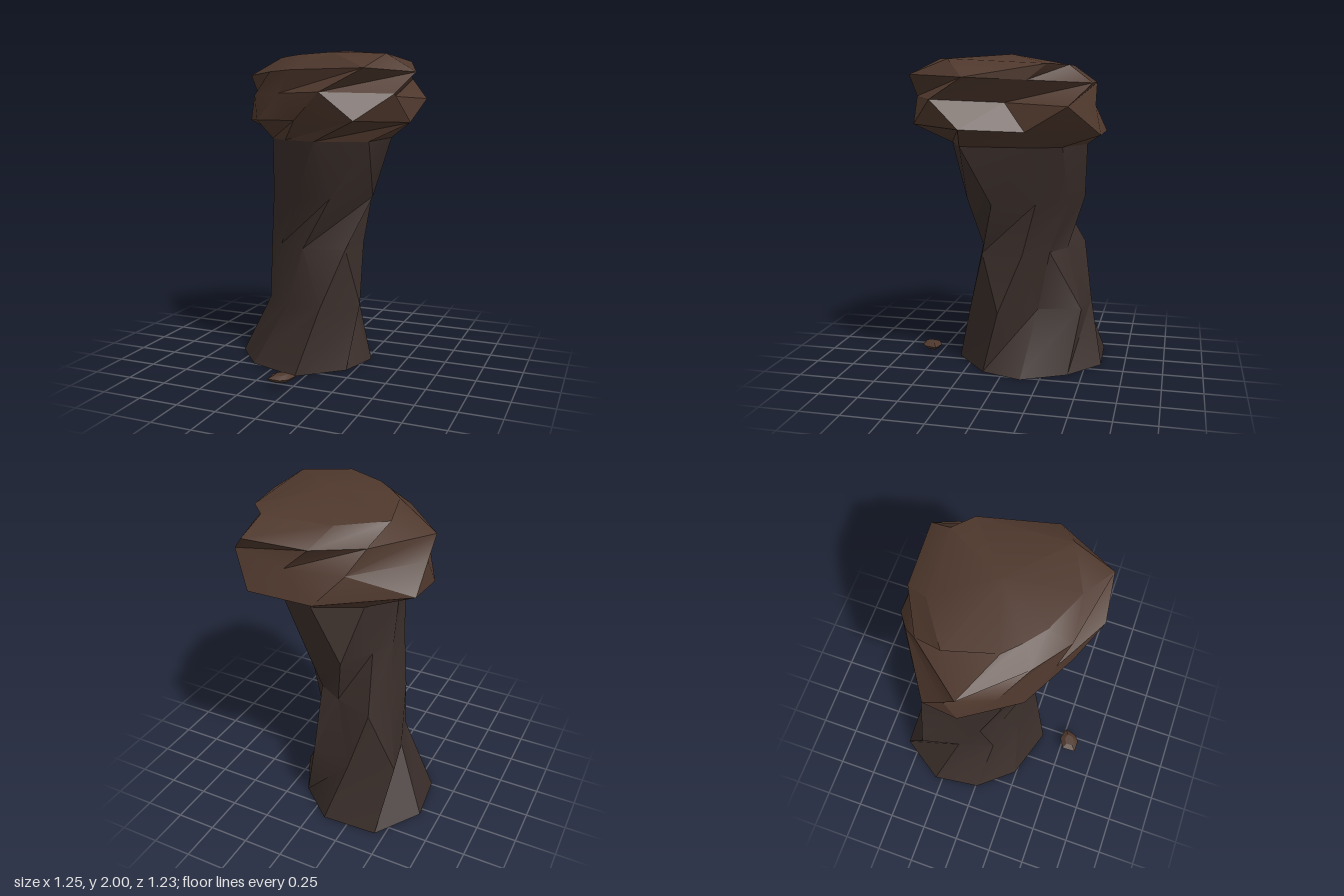
import * as THREE from 'three';
import { toCreasedNormals } from 'three/addons/utils/BufferGeometryUtils.js';

// Ring of [x, z] corners, counter-clockwise from above; tilt raises the front.
const ring = (y, pts, tilt = 0) => pts.map(([x, z]) => new THREE.Vector3(x, y + tilt * z, z));

const centre = (r) => r.reduce((s, p) => s.add(p), new THREE.Vector3()).divideScalar(r.length);

// Skin stacked rings with a twisted diagonal and close both ends to a point.
function rock(name, rings, color, top) {
  const pos = [];
  const tri = (...p) => p.forEach((v) => pos.push(v.x, v.y, v.z));
  const n = rings[0].length;
  const low = rings[0], high = rings[rings.length - 1];
  const bottom = centre(low);
  for (let i = 0; i < n; i++) {
    const j = (i + 1) % n;
    for (let k = 0; k < rings.length - 1; k++) {
      const a = rings[k], b = rings[k + 1];
      tri(a[i], a[j], b[j]);
      tri(a[i], b[j], b[i]);
    }
    tri(low[j], low[i], bottom);
    tri(high[i], high[j], top);
  }
  const geo = new THREE.BufferGeometry();
  geo.setAttribute('position', new THREE.Float32BufferAttribute(pos, 3));
  const mesh = new THREE.Mesh(toCreasedNormals(geo, 0.5),
    new THREE.MeshStandardMaterial({ color }));
  mesh.name = name;
  return mesh;
}

export function createModel() {
  const group = new THREE.Group();
  group.name = 'rockPillar';

  // Nine-sided twisted stalk, pinched in the middle and leaning back at the foot
  const neck = ring(1.46, [[0.07, 0.35], [0.37, 0.22], [0.37, -0.23], [0.29, -0.385], [0.02, -0.5],
    [-0.25, -0.36], [-0.36, -0.12], [-0.3, 0.13], [-0.15, 0.27]]);
  group.add(rock('stalk', [
    ring(0, [[-0.06, 0.35], [0.2, 0.13], [0.28, -0.13], [0.135, -0.41], [-0.09, -0.6],
      [-0.44, -0.585], [-0.63, -0.3], [-0.59, 0.01], [-0.4, 0.24]]),
    ring(0.41, [[0.06, 0.24], [0.25, 0.02], [0.09, -0.21], [0.04, -0.48], [-0.22, -0.515],
      [-0.49, -0.42], [-0.43, -0.17], [-0.36, 0.06], [-0.18, 0.18]]),
    ring(0.78, [[-0.07, 0.19], [0.19, 0.13], [0.22, -0.13], [0.08, -0.28], [-0.08, -0.37],
      [-0.325, -0.455], [-0.37, -0.24], [-0.385, -0.02], [-0.26, 0.1]]),
    ring(1.11, [[0.13, 0.24], [0.335, 0.035], [0.25, -0.22], [0.12, -0.4], [-0.15, -0.47],
      [-0.265, -0.275], [-0.335, -0.13], [-0.315, 0.09], [-0.1, 0.22]]),
    neck,
  ], 0x3a2e2a, centre(neck)));

  // Wide cap stone with staggered rings around its rim
  group.add(rock('capStone', [
    neck,
    ring(1.567, [[0.37, 0.5], [0.605, 0.16], [0.5, -0.2], [0.36, -0.615], [-0.05, -0.61],
      [-0.53, -0.29], [-0.555, -0.07], [-0.35, 0.25], [-0.02, 0.43]], 0.045),
    ring(1.725, [[0.18, 0.54], [0.56, 0.34], [0.44, -0.07], [0.54, -0.45], [0.15, -0.56],
      [-0.2, -0.5], [-0.535, -0.15], [-0.43, 0.12], [-0.15, 0.36]], 0.045),
    ring(1.858, [[0.43, 0.5], [0.625, 0.13], [0.5, -0.21], [0.41, -0.57], [0, -0.55],
      [-0.28, -0.4], [-0.55, -0.07], [-0.26, 0.25], [-0.05, 0.41]], 0.045),
    ring(1.955, [[0.2, 0.38], [0.48, 0.25], [0.47, -0.32], [0.36, -0.43], [-0.08, -0.4],
      [-0.34, -0.22], [-0.26, 0.08], [-0.16, 0.18], [-0.05, 0.27]], 0.05),
  ], 0x4f382d, new THREE.Vector3(0.13, 2, -0.05)));

  // Small loose pebble in front
  const rim = [[-0.04, 0.61], [0, 0.58], [0.02, 0.5], [-0.06, 0.48], [-0.125, 0.52], [-0.12, 0.61]];
  const shrink = (s) => rim.map(([x, z]) => [-0.055 + (x + 0.055) * s, 0.55 + (z - 0.55) * s]);
  const tip = ring(0.087, shrink(0.5));
  group.add(rock('pebble', [ring(0.047, shrink(0.7)), ring(0.068, rim), tip], 0x4f382d, centre(tip)));

  return group;
}
